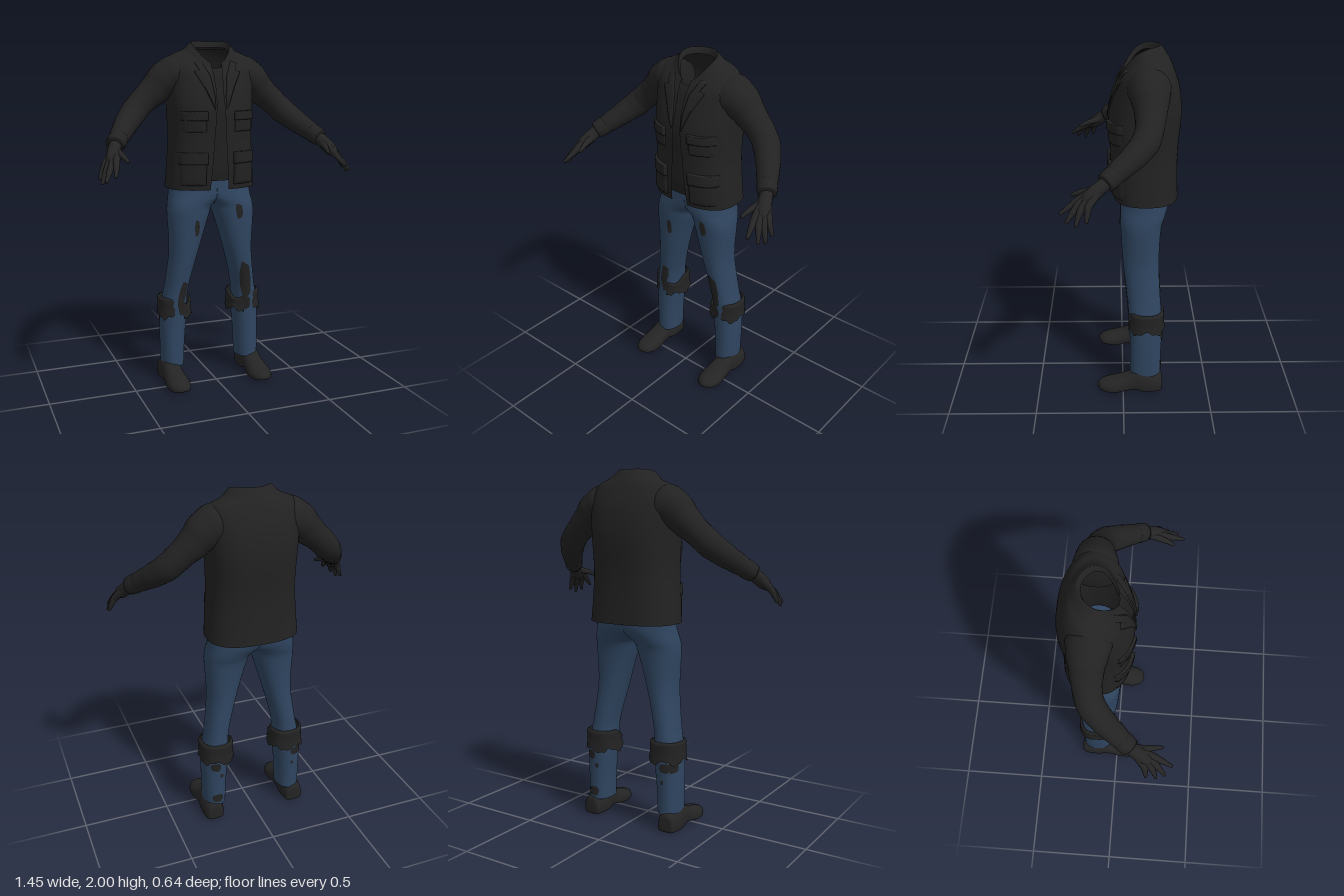
import * as THREE from 'three';

const mat = (name, color) => {
  const m = new THREE.MeshStandardMaterial({ color, side: THREE.DoubleSide });
  m.name = name;
  return m;
};

// Surface through rows of equal numbers of points
function loft(rows, closed = true) {
  const n = rows[0].length, index = [];
  for (let i = 0; i < rows.length - 1; i++)
    for (let j = 0; j < (closed ? n : n - 1); j++) {
      const k = (j + 1) % n, a = i * n + j, b = i * n + k;
      index.push(a, b, a + n, b, b + n, a + n);
    }
  const g = new THREE.BufferGeometry();
  g.setAttribute('position', new THREE.Float32BufferAttribute(rows.flat(2), 3));
  g.setIndex(index);
  g.computeVertexNormals();
  return g;
}

function mirrored(geometry) {
  const g = geometry.clone().scale(-1, 1, 1), a = g.index.array;
  for (let i = 0; i < a.length; i += 3) [a[i], a[i + 1]] = [a[i + 1], a[i]];
  g.computeVertexNormals();
  return g;
}

// Smooth in-between rows of section parameters
function resample(keys, steps) {
  const out = [], last = keys.length - 1;
  for (let i = 0; i < last; i++)
    for (let s = 0; s < steps; s++) {
      const t = s / steps, p = keys[Math.max(i - 1, 0)], q = keys[Math.min(i + 2, last)];
      out.push(keys[i].map((b, c) => {
        const e = keys[i + 1][c], m0 = (e - p[c]) / 2, m1 = (q[c] - b) / 2;
        return b + m0 * t + (3 * (e - b) - 2 * m0 - m1) * t * t + (2 * (b - e) + m0 + m1) * t ** 3;
      }));
    }
  return [...out, keys[last]];
}

// Tapered rounded limb; keys are [x, y, z, radius]
function limb(keys, sides = 14, steps = 4, wrinkle = 0) {
  const ks = resample(keys, steps), P = ks.map(k => new THREE.Vector3(...k));
  const rows = ks.map((k, i) => {
    const T = P[Math.min(i + 1, P.length - 1)].clone().sub(P[Math.max(i - 1, 0)]).normalize();
    const u = new THREE.Vector3(0, 1, 0).addScaledVector(T, -T.y).normalize();
    const v = T.clone().cross(u);
    const r = k[3] * (1 + wrinkle * Math.sin(i * 1.3));
    return Array.from({ length: sides }, (_, j) => {
      const a = j / sides * Math.PI * 2;
      return P[i].clone().addScaledVector(u, r * Math.cos(a)).addScaledVector(v, r * Math.sin(a)).toArray();
    });
  });
  const cap = p => Array(sides).fill(p.toArray());
  return loft([cap(P[0]), ...rows, cap(P[P.length - 1])]);
}

const spow = (v, e) => Math.sign(v) * Math.abs(v) ** e;

// Torso sections: back y, front y, half width, front z, back z, opening, squareness
const TORSO = [
  [1.17, 1.17, .26, .055, -.31, .055, 2.6], [1.3, 1.3, .25, .068, -.305, .045, 2.6],
  [1.45, 1.45, .24, .072, -.305, .035, 2.6], [1.6, 1.6, .243, .08, -.318, .025, 2.6],
  [1.7, 1.7, .25, .065, -.318, .02, 2.5], [1.8, 1.77, .255, .045, -.303, .022, 2.4],
  [1.88, 1.815, .25, .03, -.275, .025, 2.3], [1.93, 1.835, .22, .02, -.252, .028, 2.1],
  [1.957, 1.85, .16, .012, -.235, .03, 1.9], [1.987, 1.86, .128, .006, -.215, .03, 1.8],
  [2, 1.865, .11, 0, -.198, .03, 1.8], [1.965, 1.835, .1, -.01, -.185, .03, 1.8],
];

function torso(keys, inset, open) {
  return loft(resample(keys, 4).map(([yb, yf, a, zf, zb, gap, n]) => {
    a -= inset; zf -= inset; zb += inset;
    const start = open ? Math.asin((gap / a) ** (n / 2)) : 0, N = 80;
    return Array.from({ length: N + 1 }, (_, j) => {
      const t = start + (2 * Math.PI - 2 * start) * j / N;
      const x = a * spow(Math.sin(t), 2 / n);
      const z = (zf + zb) / 2 + (zf - zb) / 2 * spow(Math.cos(t), 2 / n);
      return [x, yb - (yb - yf) * ((z - zb) / (zf - zb)) ** 3, z];
    });
  }), false);
}

// Patch moulded onto other meshes from one side: 'front', 'back' or 'side' (-x)
function patch(poly, from, targets, height, wall) {
  const edge = [], ray = new THREE.Raycaster();
  poly.forEach((p, i) => {
    const q = poly[(i + 1) % poly.length];
    for (let s = 0; s < 5; s++) edge.push([p[0] + (q[0] - p[0]) * s / 5, p[1] + (q[1] - p[1]) * s / 5]);
  });
  const c = [0, 1].map(k => edge.reduce((s, p) => s + p[k], 0) / edge.length);
  const out = { front: [0, 0, 1], back: [0, 0, -1], side: [-1, 0, 0] }[from];
  const dir = new THREE.Vector3(...out);
  const levels = [0, .2, .4, .6, .8, 1].map(s => [s, height]);
  if (wall) levels.push([1.02, -.004]);
  let prev = null;
  return loft(levels.map(([s, h]) => {
    const row = edge.map((p, j) => {
      const u = c[0] + (p[0] - c[0]) * s, v = c[1] + (p[1] - c[1]) * s;
      const o = from === 'side' ? new THREE.Vector3(-2, v, u) : new THREE.Vector3(u, v, out[2] * 2);
      ray.set(o, dir.clone().negate());
      const hit = ray.intersectObjects(targets, false)[0];
      return hit ? hit.point.addScaledVector(dir, h).toArray() : prev ? prev[j] : [u, v, 0];
    });
    return (prev = row);
  }));
}

export function createModel() {
  const model = new THREE.Group();
  const cloth = mat('black cloth', 0x222222), shirtMat = mat('dark shirt', 0x202020);
  const denim = mat('blue denim', 0x2f4560), leather = mat('dark leather', 0x242424);
  const add = (name, g, m) => {
    const mesh = new THREE.Mesh(g, m);
    mesh.name = name;
    model.add(mesh);
    return mesh;
  };
  const pair = (name, g, m) => [add('left ' + name, g, m), add('right ' + name, mirrored(g), m)];

  // Jacket with open front over a shirt
  const jacket = add('jacket', torso(TORSO, 0, true), cloth);
  const under = TORSO.slice(0, 9).map(r => [...r]);
  under[0][0] = under[0][1] = 1.22;
  add('shirt', torso(under, .014, false), shirtMat);

  // Lapels, pockets and pocket flaps
  const rect = (x0, x1, y0, y1) => [[x0, y0], [x1, y0], [x1, y1], [x0, y1]];
  const onJacket = (name, poly, h) => pair(name, patch(poly, 'front', [jacket], h, true), cloth);
  onJacket('lapel', [[.034, 1.62], [.085, 1.74], [.135, 1.83], [.105, 1.84], [.125, 1.88],
    [.09, 1.89], [.05, 1.81], [.034, 1.7]], .008);
  onJacket('chest pocket', rect(.085, .205, 1.5, 1.6), .008);
  onJacket('chest pocket flap', rect(.08, .212, 1.565, 1.615), .016);
  onJacket('hip pocket', rect(.085, .218, 1.2, 1.36), .012);
  onJacket('hip pocket flap', rect(.08, .224, 1.32, 1.385), .02);

  // Sleeves and cuffs
  pair('sleeve', limb([[.13, 1.81, -.135, .1], [.2, 1.808, -.135, .115], [.265, 1.78, -.138, .103],
    [.33, 1.72, -.138, .085], [.4, 1.66, -.13, .074], [.455, 1.605, -.108, .073],
    [.51, 1.55, -.05, .066], [.56, 1.5, .02, .057], [.605, 1.455, .085, .046]], 24, 5, .012), cloth);
  pair('sleeve cuff', limb([[.575, 1.485, .042, .052], [.59, 1.47, .063, .054],
    [.61, 1.45, .092, .05]], 20, 3), cloth);

  // Gloved hands: palm, four fingers and thumb
  const wrist = [.605, 1.452, .085, .034];
  pair('palm', limb([wrist, [.625, 1.42, .13, .037], [.645, 1.385, .175, .034], [.655, 1.365, .2, .02]]), leather);
  const fingers = [
    [[.63, 1.385, .205], [.645, 1.345, .265], [.66, 1.31, .315]],
    [[.65, 1.372, .205], [.68, 1.325, .25], [.702, 1.28, .282]],
    [[.665, 1.366, .19], [.695, 1.315, .22], [.715, 1.266, .235]],
    [[.674, 1.37, .165], [.7, 1.325, .178], [.717, 1.285, .183]],
    [[.605, 1.415, .15], [.592, 1.4, .21], [.58, 1.378, .262]],
  ];
  fingers.forEach((f, i) => pair(i < 4 ? 'finger ' + (i + 1) : 'thumb', limb([wrist.map((v, k) => k < 3 ? v : .022),
    [...f[0], .021], [...f[1], .015], [...f[2], .008]], 10), leather));

  // Trouser legs: y, inner x, outer x, front z, back z; halves join at the hips
  const LEG = [[.1, .172, .305, -.04, -.22], [.25, .165, .308, -.04, -.222], [.4, .152, .306, -.038, -.228],
    [.5, .15, .292, -.032, -.222], [.6, .138, .274, -.024, -.214], [.8, .085, .252, 0, -.205],
    [1, .022, .262, .013, -.215], [1.07, -.01, .258, .015, -.235], [1.12, -.12, .25, .015, -.255],
    [1.17, -.245, .245, .015, -.268], [1.26, -.238, .238, .01, -.27]];
  const legRows = resample(LEG, 5).map(([y, x0, x1, zf, zb]) => Array.from({ length: 40 }, (_, j) => {
    const t = j / 40 * Math.PI * 2;
    return [Math.max(0, (x0 + x1) / 2 + (x1 - x0) / 2 * spow(Math.sin(t), .9)), y,
      (zf + zb) / 2 + (zf - zb) / 2 * spow(Math.cos(t), .9)];
  }));
  legRows.push(Array(40).fill([0, 1.2, -.13]));
  const legs = pair('trouser leg', loft(legRows), denim);

  // Dark patches and tears on the trousers
  const spot = (x, y, w, h, lean = 0) => Array.from({ length: 9 }, (_, i) => {
    const a = i / 9 * Math.PI * 2, r = 1 + .12 * Math.sin(i * 2.4);
    return [x + w / 2 * r * Math.cos(a) + lean * Math.sin(a), y + h / 2 * r * Math.sin(a)];
  });
  [['front', -.12, .945, .032, .105, 0], ['front', .137, 1.03, .045, .095, -.006],
    ['front', .195, .6, .07, .25, -.014], ['front', -.2, .545, .05, .17, .018],
    ['front', .205, .45, .055, .09, 0], ['front', -.2, .46, .05, .09, 0],
    ['side', -.195, .38, .06, .07, 0], ['back', -.25, .375, .06, .06, 0], ['back', .25, .375, .06, .06, 0],
    ['back', .215, .31, .022, .03, 0], ['back', -.235, .29, .02, .025, 0], ['back', .24, .15, .07, .06, 0],
  ].forEach(([from, ...s], i) => add('trouser patch ' + (i + 1), patch(spot(...s), from, legs, .004, false), cloth));

  // Ragged turned-over bands below the knees
  const band = [[0, 1.05], [.3, 1], [.6, .98], [.85, 1], [.95, .97], [1, .84]].map(([k, r]) =>
    Array.from({ length: 61 }, (_, j) => {
      const t = .22 + (Math.PI * 2 - .44) * j / 60, s = Math.sin(t), c = Math.cos(t);
      const top = .52 - .09 * Math.max(0, -s) * Math.max(0, c);
      const low = .405 + .012 * Math.sin(5 * t) + .006 * Math.sin(13 * t);
      return [.22 + .098 * r * spow(s, .85), low + (top - low) * k, -.136 + .101 * r * spow(c, .85)];
    }));
  pair('knee band', loft(band, false), cloth);

  // Shoes: z, half width, bottom, top
  const SHOE = [[-.23, .03, .02, .08], [-.222, .05, .004, .11], [-.17, .062, .002, .128], [-.11, .062, .002, .15],
    [-.075, .058, .016, .14], [-.03, .06, .012, .108], [.03, .067, .003, .085], [.085, .066, .004, .07],
    [.13, .046, .01, .055], [.15, .015, .018, .038]];
  const shoe = resample(SHOE, 3).map(([z, w, y0, y1]) => Array.from({ length: 28 }, (_, j) => {
    const t = j / 28 * Math.PI * 2, s = Math.sin(t), mid = y0 + (y1 - y0) * .35;
    return [.257 + w * spow(Math.cos(t), s < 0 ? .5 : .85),
      s < 0 ? mid + (mid - y0) * spow(s, .4) : mid + (y1 - mid) * s, z];
  }));
  const end = (z, y) => Array(28).fill([.257, y, z]);
  pair('shoe', loft([end(-.23, .05), ...shoe, end(.152, .028)]), leather);

  return model;
}
